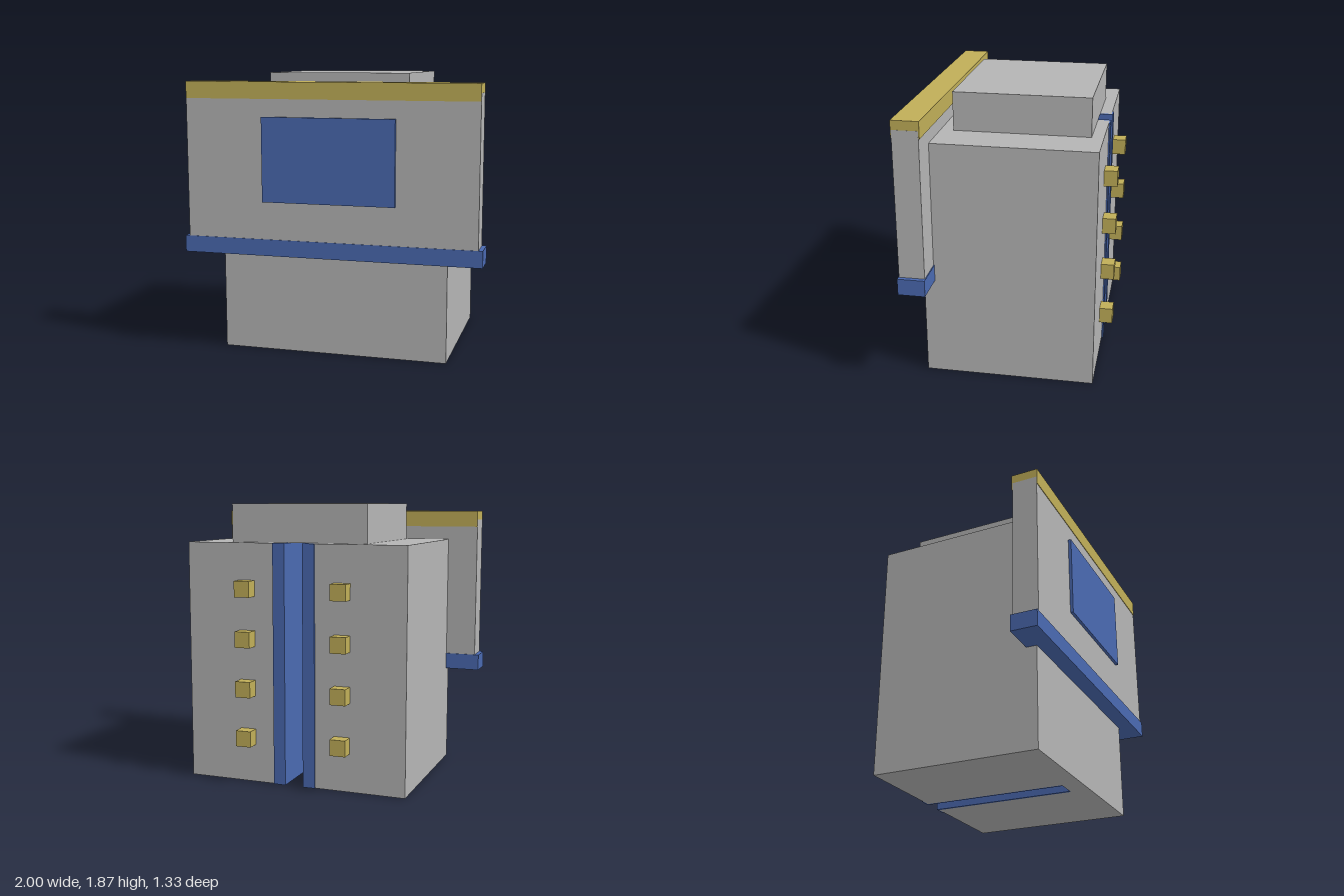
import * as THREE from 'three';

const gray = new THREE.MeshStandardMaterial({ color: 0xb4b4b4 });
gray.name = 'stone gray';
const gold = new THREE.MeshStandardMaterial({ color: 0xc0ae58 });
gold.name = 'gold';
const blue = new THREE.MeshStandardMaterial({ color: 0x4a69b0 });
blue.name = 'blue';

// Box given by its extents along each axis
function box(name, material, [x0, x1], [y0, y1], [z0, z1]) {
  const mesh = new THREE.Mesh(new THREE.BoxGeometry(x1 - x0, y1 - y0, z1 - z0), material);
  mesh.position.set((x0 + x1) / 2, (y0 + y1) / 2, (z0 + z1) / 2);
  mesh.name = name;
  return mesh;
}

// Plan outline (x, z) raised to a height
function prism(name, material, points, height) {
  const shape = new THREE.Shape(points.map(([x, z]) => new THREE.Vector2(x, -z)));
  const geometry = new THREE.ExtrudeGeometry(shape, { depth: height, bevelEnabled: false });
  geometry.rotateX(-Math.PI / 2);
  const mesh = new THREE.Mesh(geometry, material);
  mesh.name = name;
  return mesh;
}

export function createModel() {
  const model = new THREE.Group();
  model.name = 'building';

  const height = 1.61, halfWidth = 0.763, front = 0.543, back = -0.578;
  const slot = 0.08, slotEnd = 0.41, liner = 0.063, lipBack = -0.588;

  // Main block with a deep slot open at the back, top and bottom
  model.add(prism('mainBlock', gray, [
    [-halfWidth, front], [halfWidth, front], [halfWidth, back], [slot, back],
    [slot, slotEnd], [-slot, slotEnd], [-slot, back], [-halfWidth, back],
  ], height));

  // Block on the roof
  model.add(box('roofBlock', gray, [-0.473, 0.473], [height, 1.865], [-0.5, 0.393]));

  // Overhanging front sign with its trim, ledge and panel
  model.add(box('signBoard', gray, [-0.971, 0.971], [0.72, 1.75], [0.478, 0.646]));
  model.add(box('signTopTrim', gold, [-0.97, 0.97], [1.70, 1.81], [0.472, 0.65]));
  model.add(box('signLedge', blue, [-1, 1], [0.67, 0.78], [0.472, 0.65]));
  model.add(box('signPanel', blue, [-0.443, 0.443], [1.03, 1.585], [0.64, 0.666]));

  // Slot liners with a lip folded over the back wall, and a column of knobs, on each side
  for (const s of [1, -1]) {
    model.add(prism(s > 0 ? 'leftSlotLiner' : 'rightSlotLiner', blue, [
      [s * liner, slotEnd], [s * slot, slotEnd], [s * slot, back],
      [s * 0.146, back], [s * 0.146, lipBack], [s * liner, lipBack],
    ], height));
    for (let i = 0; i < 4; i++) {
      const x = s * 0.334, y = 0.31 + i * 0.3335, h = 0.0535;
      model.add(box('backKnob', gold, [x - h, x + h], [y - h, y + h], [-0.666, back]));
    }
  }
  return model;
}
